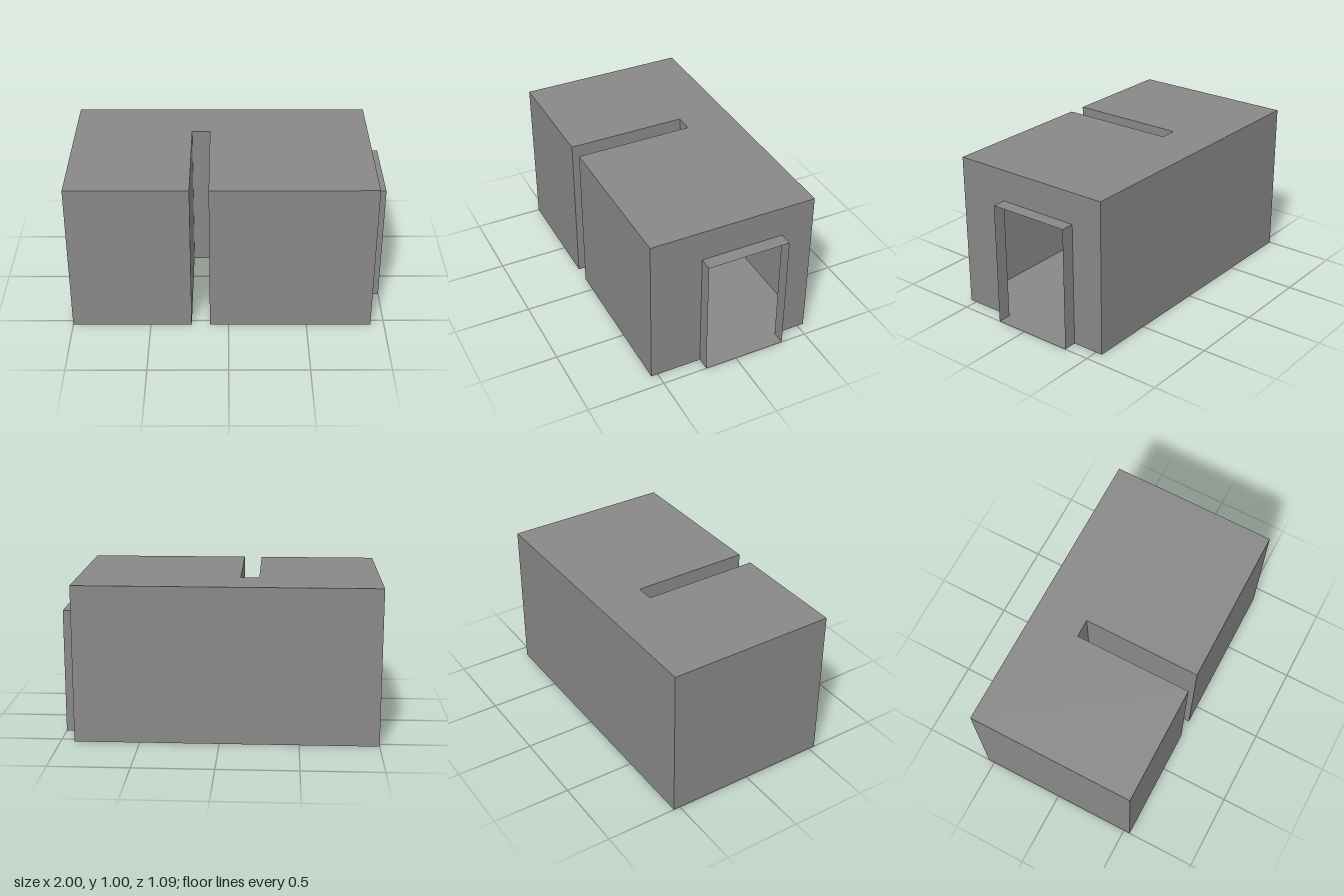
import * as THREE from 'three';

const material = new THREE.MeshStandardMaterial({ color: 0x888888, flatShading: true, side: THREE.DoubleSide });

// Main dimensions
const H = 1, DOOR_H = 0.798;
const X0 = -1, X1 = 0.913, PORCH_X = 1, Z = 0.543;
const SLOT_L = -0.237, SLOT_R = -0.12, SLOT_Z = -0.223;
const DOOR_FRONT = 0.208, DOOR_BACK = -0.332;

function addMesh(parent, name, geometry) {
  const mesh = new THREE.Mesh(geometry, material);
  mesh.name = name;
  parent.add(mesh);
  return mesh;
}

const shapeFrom = (points) => new THREE.Shape(points.map(([a, b]) => new THREE.Vector2(a, b)));

// Upright thin panel between two plan points [x, z]; it faces right of the walking direction
function addWall(parent, name, [xa, za], [xb, zb], height) {
  const dx = xb - xa, dz = zb - za;
  const geometry = new THREE.PlaneGeometry(Math.hypot(dx, dz), height);
  geometry.rotateY(Math.atan2(-dz, dx));
  geometry.translate((xa + xb) / 2, height / 2, (za + zb) / 2);
  return addMesh(parent, name, geometry);
}

export function createModel() {
  const model = new THREE.Group();
  model.name = 'hollowBuilding';

  // Plan outline of the hall with its entrance slot, from the back right corner to the front right
  const back = [[X1, -Z], [X0, -Z], [X0, Z]];
  const front = [[SLOT_L, Z], [SLOT_L, SLOT_Z], [SLOT_R, SLOT_Z], [SLOT_R, Z], [X1, Z]];
  const plan = [...back, ...front];

  // Outer walls and slot walls
  const walls = new THREE.Group();
  walls.name = 'walls';
  model.add(walls);
  const names = ['backWall', 'endWall', 'frontWallA', 'slotWallA', 'slotEndWall', 'slotWallB', 'frontWallB'];
  names.forEach((name, i) => addWall(walls, name, plan[i], plan[i + 1], H));

  // End wall with the doorway cut out, drawn in (-z, y)
  const doorWall = new THREE.ShapeGeometry(shapeFrom([
    [-Z, 0], [-DOOR_FRONT, 0], [-DOOR_FRONT, DOOR_H], [-DOOR_BACK, DOOR_H], [-DOOR_BACK, 0],
    [Z, 0], [Z, H], [-Z, H],
  ]));
  doorWall.rotateY(Math.PI / 2).translate(X1, 0, 0);
  addMesh(walls, 'doorWall', doorWall);

  // Roof
  const roof = new THREE.ShapeGeometry(shapeFrom(plan.map(([x, z]) => [x, -z])));
  roof.rotateX(-Math.PI / 2).translate(0, H, 0);
  addMesh(model, 'roof', roof);

  // Floor, running on through the doorway
  const porchPlan = [[X1, DOOR_FRONT], [PORCH_X, DOOR_FRONT], [PORCH_X, DOOR_BACK], [X1, DOOR_BACK]];
  const floor = new THREE.ShapeGeometry(shapeFrom([...plan, ...porchPlan]));
  floor.rotateX(Math.PI / 2);
  addMesh(model, 'floor', floor);

  // Open door surround: two cheeks and a lintel
  const porch = new THREE.Group();
  porch.name = 'doorSurround';
  model.add(porch);
  addWall(porch, 'frontCheek', porchPlan[0], porchPlan[1], DOOR_H);
  addWall(porch, 'backCheek', porchPlan[2], porchPlan[3], DOOR_H);
  const lintel = new THREE.PlaneGeometry(PORCH_X - X1, DOOR_FRONT - DOOR_BACK);
  lintel.rotateX(-Math.PI / 2).translate((X1 + PORCH_X) / 2, DOOR_H, (DOOR_FRONT + DOOR_BACK) / 2);
  addMesh(porch, 'lintel', lintel);

  return model;
}
